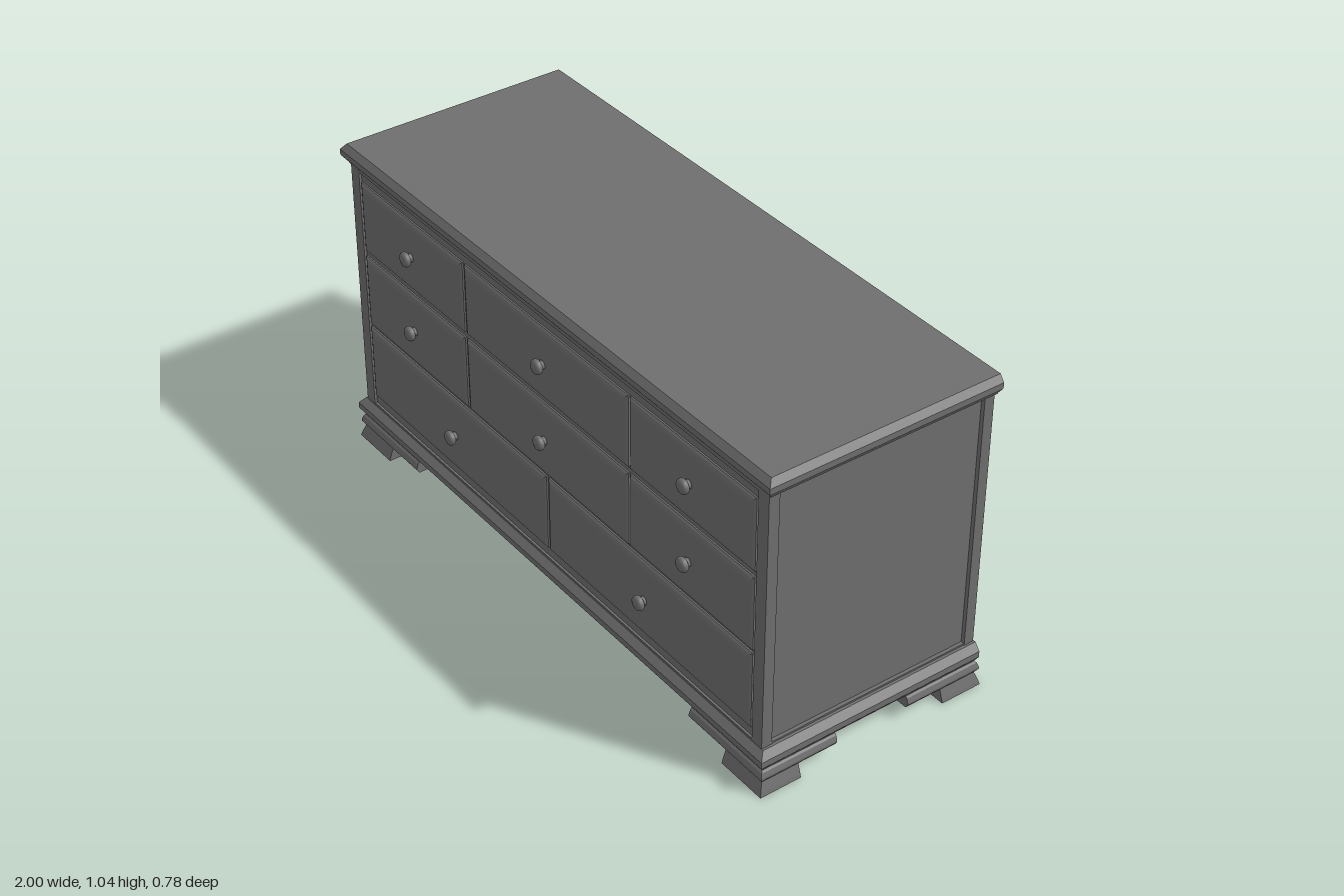
import * as THREE from 'three';

const material = new THREE.MeshStandardMaterial({ color: 0x6e6e6e });

// Joins counter-clockwise [x, y] outlines stacked along z into a closed, flat-shaded solid.
function loft(levels) {
  const pos = [];
  const put = (p, z) => pos.push(p[0], p[1], z);
  const rings = levels.map(([z, pts]) => {
    const v = pts.map(p => new THREE.Vector2(...p));
    return [z, THREE.ShapeUtils.isClockWise(v) ? [...pts].reverse() : pts];
  });
  for (let r = 0; r < rings.length - 1; r++) {
    const [z0, a] = rings[r], [z1, b] = rings[r + 1];
    for (let i = 0; i < a.length; i++) {
      const j = (i + 1) % a.length;
      put(a[i], z0); put(a[j], z0); put(b[j], z1);
      put(a[i], z0); put(b[j], z1); put(b[i], z1);
    }
  }
  const cap = ([z, pts], flip) => {
    const v = pts.map(p => new THREE.Vector2(...p));
    for (const t of THREE.ShapeUtils.triangulateShape(v, [])) {
      for (const k of flip ? [t[0], t[2], t[1]] : t) put(pts[k], z);
    }
  };
  cap(rings[0], true);
  cap(rings[rings.length - 1], false);
  const geo = new THREE.BufferGeometry();
  geo.setAttribute('position', new THREE.Float32BufferAttribute(pos, 3));
  geo.computeVertexNormals();
  return geo;
}

// Same, with [x, z] outlines stacked along y.
const loftUp = levels =>
  loft(levels.map(([y, pts]) => [y, pts.map(([x, z]) => [x, -z])])).rotateX(-Math.PI / 2);

const rect = (x0, x1, y0, y1) => [[x0, y0], [x1, y0], [x1, y1], [x0, y1]];

export function createModel() {
  const model = new THREE.Group();
  const add = (name, geo, parent = model) => {
    const mesh = new THREE.Mesh(geo, material);
    mesh.name = name;
    parent.add(mesh);
    return mesh;
  };
  const box = (name, x0, x1, y0, y1, z0, z1) =>
    add(name, new THREE.BoxGeometry(x1 - x0, y1 - y0, z1 - z0)
      .translate((x0 + x1) / 2, (y0 + y1) / 2, (z0 + z1) / 2));

  // Moulded slabs: profile of [y, inset] on front and sides, flat at the back
  const slab = (name, profile, back) => add(name, loftUp(profile.map(([y, d]) =>
    [y, rect(-1 + d, 1 - d, back, 0.376 - d)])));
  slab('top', [[0.975, 0.019], [0.98, 0.017], [0.999, 0.002], [1.003, 0],
    [1.02, 0], [1.04, 0.015]], -0.38);
  slab('baseMoulding', [[0.081, 0.016], [0.101, 0.002], [0.105, 0], [0.124, 0],
    [0.146, 0.018]], -0.378);

  // Carcass with recessed panels, corner posts and narrow rails
  box('carcass', -0.962, 0.962, 0.14, 0.98, -0.363, 0.349);
  for (const s of [-1, 1]) {
    const [x0, x1] = s < 0 ? [-0.975, -0.933] : [0.933, 0.975];
    box('frontPost', x0, x1, 0.14, 0.98, 0.323, 0.357);
    box('backPost', x0, x1, 0.14, 0.98, -0.375, -0.343);
    const [r0, r1] = s < 0 ? [-0.973, -0.94] : [0.94, 0.973];
    box('sideTopRail', r0, r1, 0.968, 0.98, -0.343, 0.323);
    box('sideBottomRail', r0, r1, 0.14, 0.151, -0.343, 0.323);
  }
  box('backTopRail', -0.933, 0.933, 0.965, 0.98, -0.373, -0.343);
  box('backBottomRail', -0.933, 0.933, 0.14, 0.162, -0.373, -0.343);
  box('frontTopRail', -0.933, 0.933, 0.966, 0.98, 0.325, 0.356);
  box('frontBottomRail', -0.933, 0.933, 0.14, 0.152, 0.325, 0.356);

  // Drawers with softly bevelled fronts and stout turned knobs
  const knobProfile = [[0, 0], [0.014, 0], [0.013, 0.007], [0.016, 0.01],
    [0.021, 0.013], [0.023, 0.017], [0.023, 0.022], [0.02, 0.027], [0.013, 0.03], [0, 0.0315]]
    .map(p => new THREE.Vector2(...p));
  const thirds = [[-0.927, -0.398, -0.66], [-0.387, 0.385, 0], [0.392, 0.924, 0.656]];
  const halves = [[-0.927, -0.005, -0.465], [0.005, 0.924, 0.462]];
  const rows = [[0.704, 0.936, 0.82, thirds], [0.446, 0.686, 0.566, thirds], [0.184, 0.436, 0.307, halves]];
  for (const [y0, y1, ky, columns] of rows) {
    for (const [x0, x1, kx] of columns) {
      const drawer = new THREE.Group();
      drawer.name = 'drawer';
      model.add(drawer);
      const levels = [[0.34, 0], [0.354, 0], [0.358, 0.006], [0.361, 0.014], [0.362, 0.022]];
      add('drawerFront', loft(levels.map(([z, d]) =>
        [z, rect(x0 + d, x1 - d, y0 + d, y1 - d)])), drawer);
      add('knob', new THREE.LatheGeometry(knobProfile, 20).rotateX(Math.PI / 2)
        .translate(kx, ky, 0.361), drawer);
    }
  }

  // L-shaped bracket feet: a moulded upper bracket over a flared lower foot
  const corner = (sx, sz, d, lenX, lenZ) => {
    const X = 1, Z = sz > 0 ? 0.376 : 0.39, t = 0.06;
    return [[X - d, Z - d], [X - lenX, Z - d], [X - lenX, Z - t], [X - t, Z - t],
      [X - t, Z - lenZ], [X - d, Z - lenZ]].map(([x, z]) => [sx * x, sz * z]);
  };
  for (const sx of [-1, 1]) {
    for (const sz of [-1, 1]) {
      const foot = new THREE.Group();
      foot.name = 'foot';
      model.add(foot);
      const upper = [[0.043, 0.012], [0.055, 0.004], [0.062, 0.004],
        [0.076, 0.009], [0.082, 0.014]];
      add('upperBracket', loftUp(upper.map(([y, d]) =>
        [y, corner(sx, sz, d, 0.32, 0.26)])), foot);
      add('lowerFoot', loftUp([[0, 0], [0.012, 0.003], [0.044, 0.014]].map(([y, d]) =>
        [y, corner(sx, sz, d, 0.168, 0.136)])), foot);
    }
  }
  return model;
}
